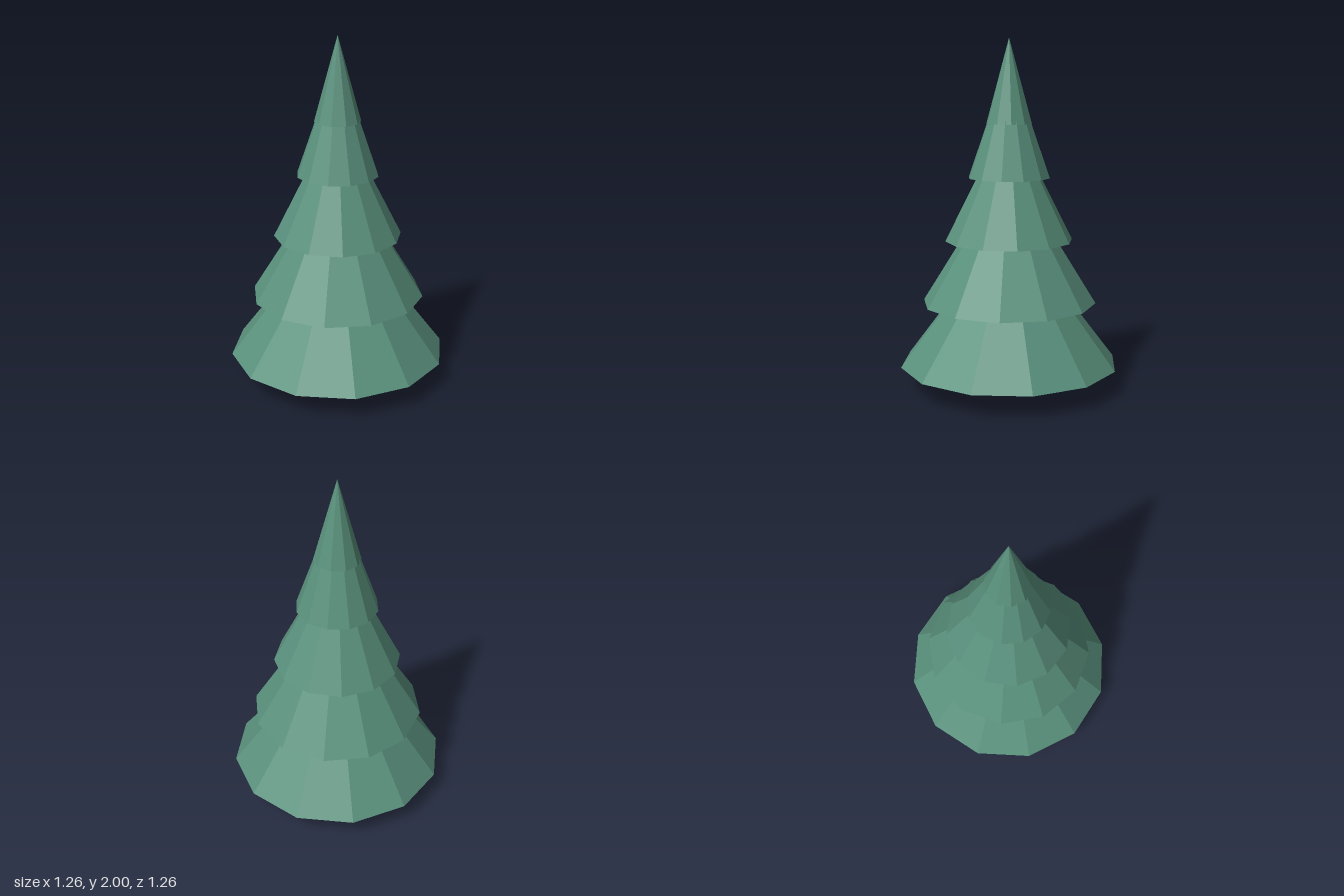
import * as THREE from 'three';

export function createModel() {
  const tree = new THREE.Group();
  tree.name = 'pineTree';

  const needles = new THREE.MeshStandardMaterial({ color: 0x5a917d });
  needles.name = 'needleGreen';
  const bark = new THREE.MeshStandardMaterial({ color: 0x7d6247 });
  bark.name = 'barkBrown';

  // Flat facets: every face gets its own normals
  const faceted = (geometry) => {
    const flat = geometry.toNonIndexed();
    flat.computeVertexNormals();
    return flat;
  };

  // Trunk, slightly tapered, running up into the lowest tier
  const trunk = new THREE.Mesh(faceted(new THREE.CylinderGeometry(0.044, 0.052, 0.3, 10)), bark);
  trunk.name = 'trunk';
  trunk.position.y = 0.15;
  tree.add(trunk);

  // Foliage tiers from bottom to top, each turned a little from the one below
  const tiers = [
    { base: 0.13, radius: 0.632, height: 0.83, sides: 12, turn: 0 },
    { base: 0.492, radius: 0.5, height: 0.806, sides: 12, turn: -0.3 },
    { base: 0.853, radius: 0.367, height: 0.725, sides: 12, turn: -0.6 },
    { base: 1.214, radius: 0.235, height: 0.673, sides: 12, turn: -0.9 },
    { base: 1.52, radius: 0.132, height: 0.48, sides: 10, turn: 0 },
  ];
  tiers.forEach(({ base, radius, height, sides, turn }, i) => {
    const tier = new THREE.Mesh(faceted(new THREE.ConeGeometry(radius, height, sides)), needles);
    tier.name = `foliageTier${i + 1}`;
    tier.position.y = base + height / 2;
    tier.rotation.y = turn;
    tree.add(tier);
  });

  return tree;
}
